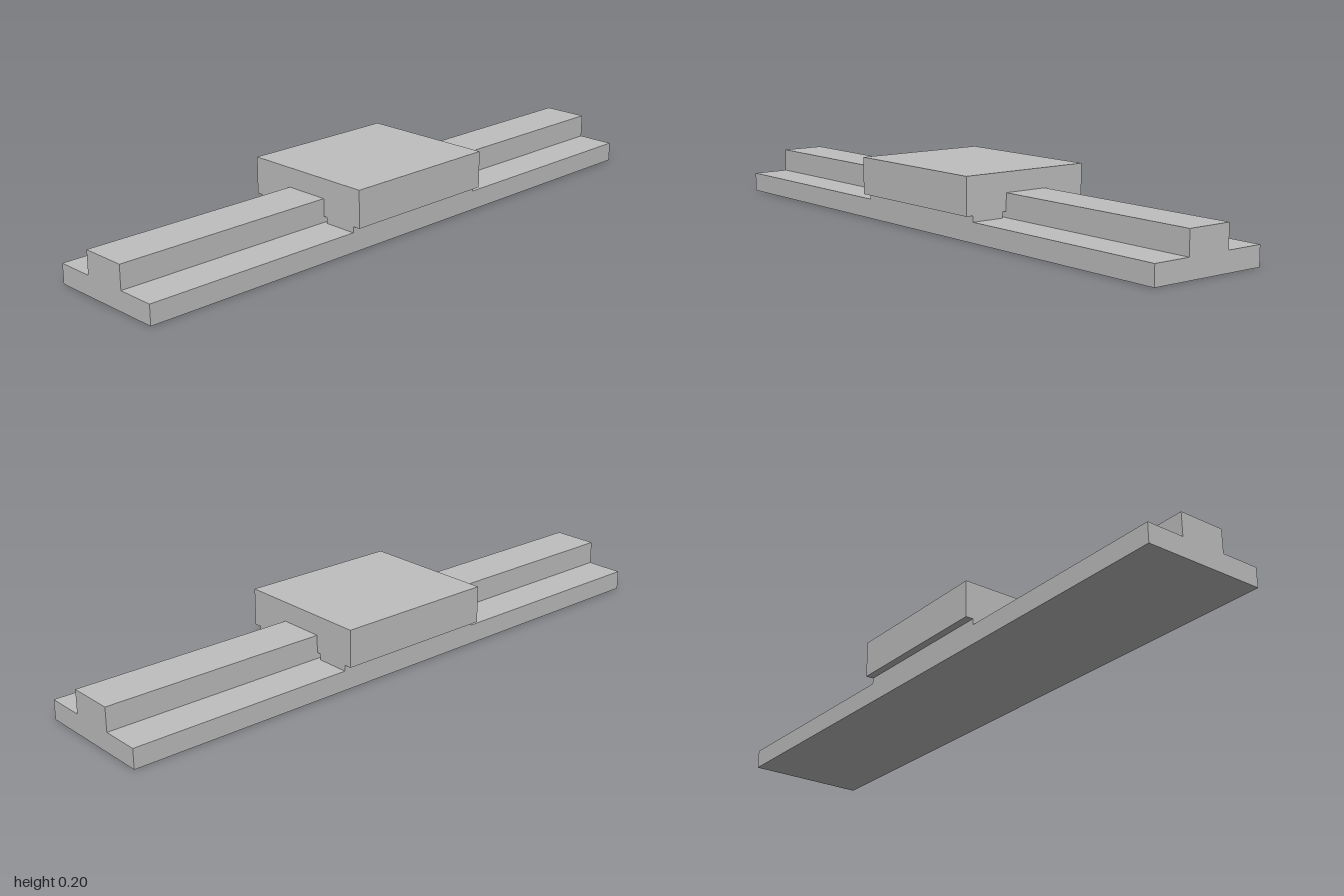
import * as THREE from 'three';

const grey = new THREE.MeshStandardMaterial({ color: 0xbfbfbf });
grey.name = 'grey metal';

// Extrude a mirrored profile, given as [z, y] points of one half, along x
function extrudeAlongX(name, half, length) {
  const mirrored = half.map(([z, y]) => [-z, y]).reverse();
  const points = [...half, ...mirrored].map(([z, y]) => new THREE.Vector2(z, y));
  const geometry = new THREE.ExtrudeGeometry(new THREE.Shape(points), {
    depth: length, bevelEnabled: false,
  });
  geometry.translate(0, 0, -length / 2);
  geometry.rotateY(Math.PI / 2);
  const mesh = new THREE.Mesh(geometry, grey);
  mesh.name = name;
  return mesh;
}

export function createModel() {
  const model = new THREE.Group();
  model.name = 'linearGuide';

  // Stepped rail: wide base with a raised central ridge
  const rail = extrudeAlongX('rail', [
    [0.2, 0], [0.2, 0.0625], [0.075, 0.0625], [0.075, 0.1375],
  ], 2);

  // Sliding carriage: straddles the ridge, with feet resting on the base
  const carriage = extrudeAlongX('carriage', [
    [0.075, 0.1375], [0.075, 0.0815], [0.0885, 0.0815], [0.0885, 0.0625],
    [0.2, 0.0625], [0.2, 0.0815], [0.225, 0.0815], [0.225, 0.2],
  ], 0.53);

  model.add(rail, carriage);
  return model;
}
